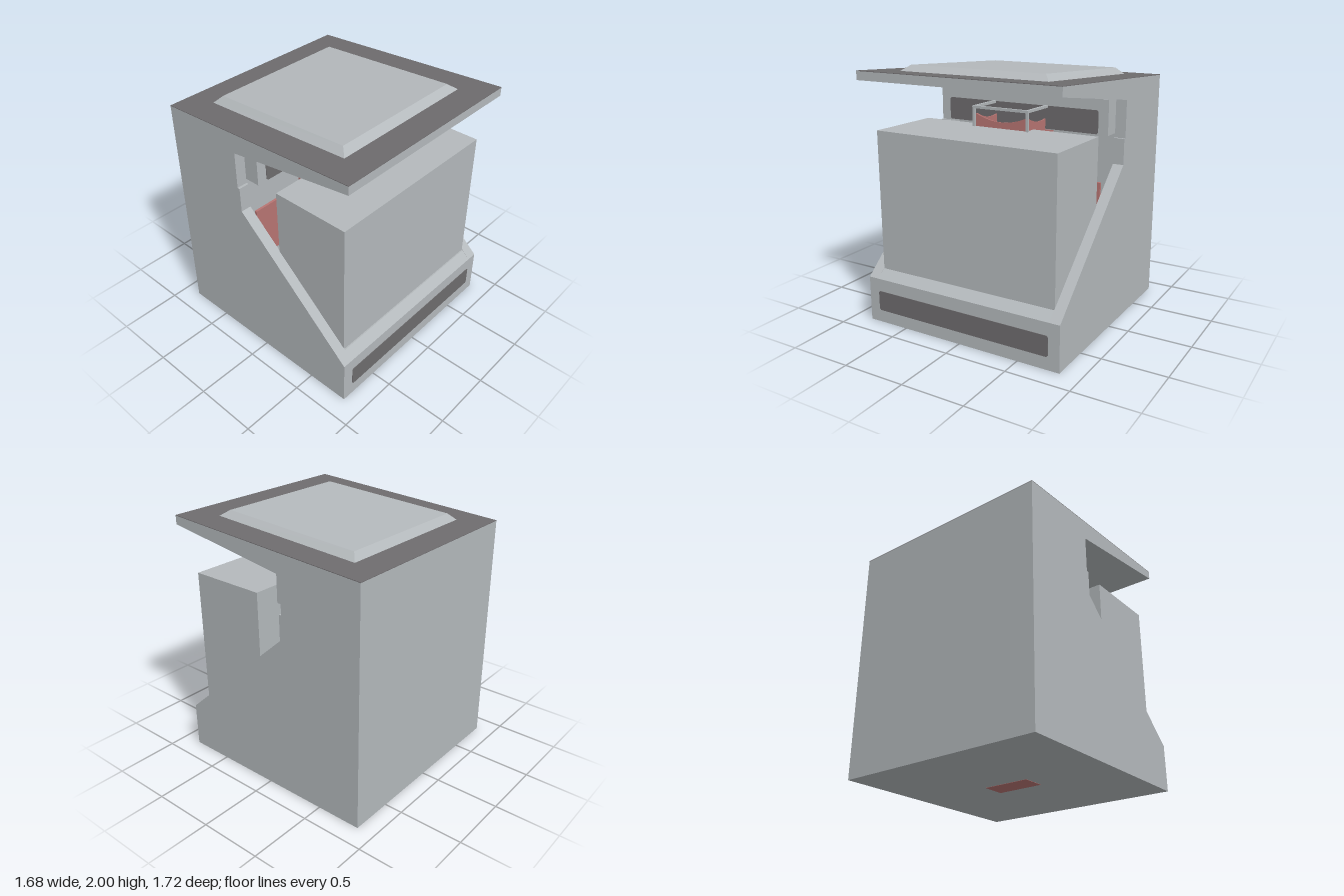
import * as THREE from 'three';

const mat = (name, color) => {
  const m = new THREE.MeshStandardMaterial({ color });
  m.name = name;
  return m;
};

export function createModel() {
  const model = new THREE.Group();
  const grey = mat('light grey', 0xb4b9bc);
  const dark = mat('dark grey', 0x6e6c6e);
  const red = mat('soft red', 0xb87573);

  const add = (name, geometry, material) => {
    const mesh = new THREE.Mesh(geometry, material);
    mesh.name = name;
    model.add(mesh);
    return mesh;
  };
  // Box given by its limits on each axis
  const box = (name, [x0, x1], [y0, y1], [z0, z1], material) =>
    add(name, new THREE.BoxGeometry(x1 - x0, y1 - y0, z1 - z0), material)
      .position.set((x0 + x1) / 2, (y0 + y1) / 2, (z0 + z1) / 2);
  // Side profile of [z, y] points, extruded from x0 to x1
  const slab = (name, points, x0, x1, material) => {
    const shape = new THREE.Shape(points.map(([z, y]) => new THREE.Vector2(-z, y)));
    const g = new THREE.ExtrudeGeometry(shape, { depth: x1 - x0, bevelEnabled: false, curveSegments: 12 });
    add(name, g.rotateY(Math.PI / 2).translate(x0, 0, 0), material);
  };
  // Flat shape in x and y, extruded towards the front from z0
  const plate = (name, points, z0, depth, material) => {
    const shape = new THREE.Shape(points.map(([x, y]) => new THREE.Vector2(x, y)));
    const g = new THREE.ExtrudeGeometry(shape, { depth, bevelEnabled: false });
    add(name, g.translate(0, 0, z0), material);
  };
  // Rectangle with cut corners
  const cutRect = (w, y0, y1, c) => [
    [-w + c, y0], [w - c, y0], [w, y0 + c], [w, y1 - c],
    [w - c, y1], [-w + c, y1], [-w, y1 - c], [-w, y0 + c]];

  // Housing: two side walls and a hollow middle
  const shell = [[0.84, 0], [-0.86, 0], [-0.86, 1.866], [0.86, 1.966], [0.86, 1.9], [-0.18, 1.75]];
  const wall = [...shell, [-0.18, 1.46], [-0.16, 1.46], [-0.16, 1.26], [0.84, 0.36]];
  slab('rightWall', wall, -0.84, -0.755, grey);
  slab('leftWall', wall, 0.755, 0.84, grey);
  slab('housingMiddle', [...shell, [-0.3, 1.75], [-0.3, 0.42], [0.77, 0.42], [0.84, 0.36]],
    -0.755, 0.755, grey);

  // Sloping lid with a raised, bevelled panel
  slab('lidTop', [[-0.86, 1.866], [0.86, 1.966], [0.86, 1.97], [-0.86, 1.87]], -0.84, 0.84, dark);
  const corners = [[-1, -1], [-1, 1], [1, 1], [1, -1]];
  const base = corners.map(([x, z]) => [0.62 * x, z > 0 ? 1.957 : 1.883, z > 0 ? 0.63 : -0.64]);
  const top = corners.map(([x, z]) => [0.565 * x, z > 0 ? 2.0 : 1.935, z > 0 ? 0.57 : -0.59]);
  const tri = [];
  const quad = (a, b, c, d) => tri.push(...a, ...b, ...c, ...a, ...c, ...d);
  quad(...top);
  for (let i = 0; i < 4; i++) {
    const j = (i + 1) % 4;
    quad(base[i], base[j], top[j], top[i]);
  }
  const panel = new THREE.BufferGeometry();
  panel.setAttribute('position', new THREE.Float32BufferAttribute(tri, 3));
  panel.computeVertexNormals();
  add('lidPanel', panel, grey);

  // Large front container
  plate('container', [[-0.74, 0.41], [0.74, 0.41], [0.757, 0.44], [0.76, 1.52], [-0.76, 1.52], [-0.757, 0.44]],
    0.13, 0.63, grey);

  // Dark strips on the base and on the upper block
  plate('baseStrip', cutRect(0.75, 0.1, 0.26, 0.012), 0.838, 0.006, dark);
  box('upperBlock', [-0.75, 0.75], [1.49, 1.76], [-0.3, -0.06], grey);
  plate('upperStrip', cutRect(0.67, 1.495, 1.675, 0.012), -0.062, 0.006, dark);

  // Holder frame
  for (const s of [-1, 1]) {
    const xs = s > 0 ? [0.225, 0.245] : [-0.245, -0.225];
    box('holderRail', xs, [1.66, 1.68], [-0.06, 0.25], grey);
    box('holderPost', xs, [1.14, 1.66], [0.23, 0.25], grey);
  }
  box('holderFront', [-0.225, 0.225], [1.66, 1.68], [0.23, 0.25], grey);

  // Red bag: four walls with a dipped top edge, and a floor
  const bagWall = (half) => {
    const pts = [[-half, 1.14], [half, 1.14]];
    for (let i = 0; i <= 12; i++) {
      const t = 1 - i / 6;
      pts.push([half * t, 1.567 + 0.053 * t * t]);
    }
    return pts;
  };
  plate('bagFront', bagWall(0.225), 0.22, 0.01, red);
  plate('bagBack', bagWall(0.225), -0.19, 0.01, red);
  const side = bagWall(0.2).map(([z, y]) => [z + 0.02, y]);
  slab('bagRight', side, -0.225, -0.215, red);
  slab('bagLeft', side, 0.215, 0.225, red);
  box('bagFloor', [-0.225, 0.225], [1.14, 1.15], [-0.19, 0.23], red);

  // Support bars and the red insert inside the recess
  for (const y of [1.03, 1.08]) box('supportBar', [-0.2, 0.2], [y, y + 0.02], [0.03, 0.13], grey);
  box('recessInsert', [-0.6, 0.6], [0.6, 1.06], [-0.31, -0.28], red);

  // Red patch under the base
  box('basePatch', [-0.19, 0.19], [-0.002, 0.004], [-0.09, 0.09], red);

  return model;
}
